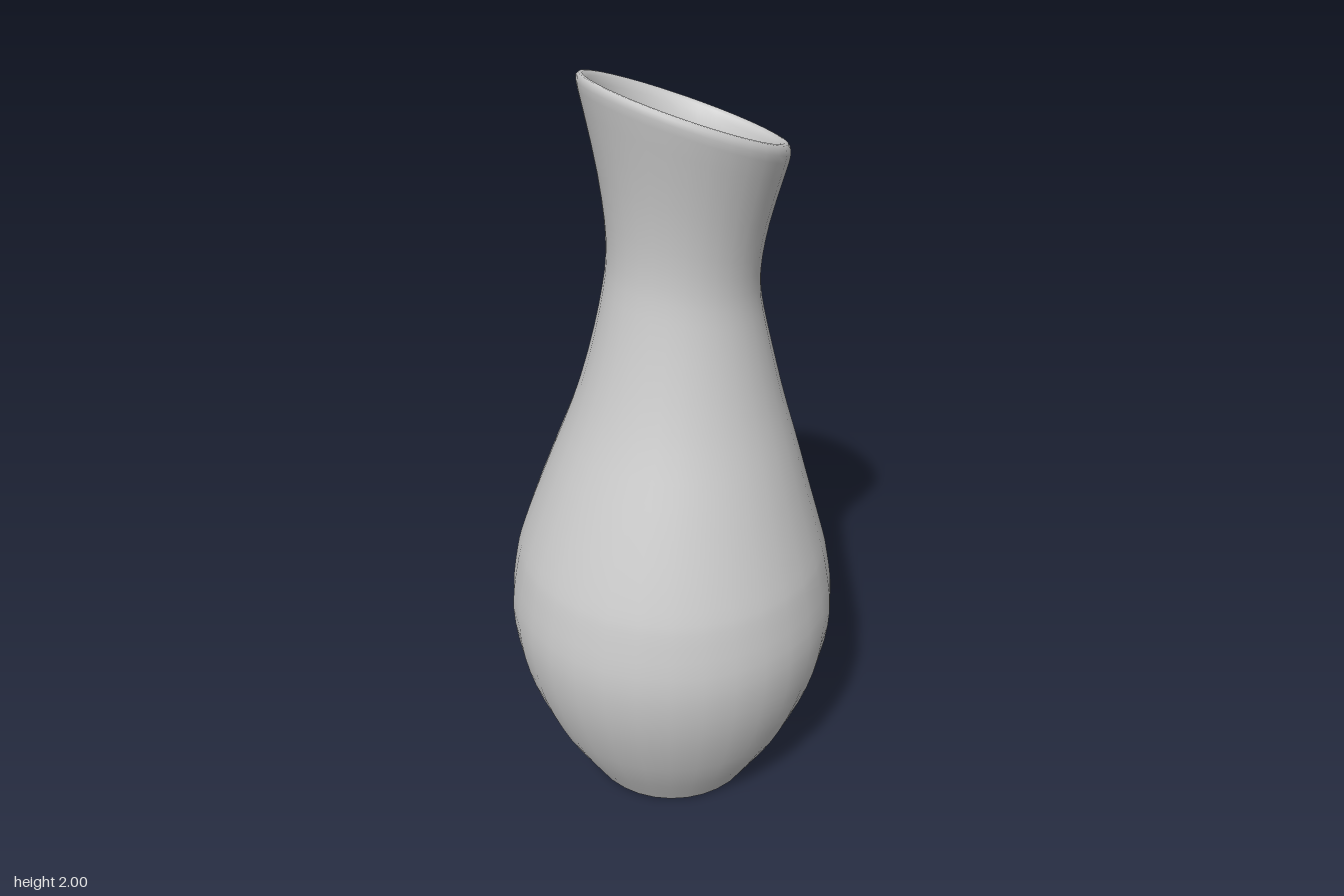
import * as THREE from 'three';
import { mergeVertices } from 'three/addons/utils/BufferGeometryUtils.js';

const smooth = THREE.MathUtils.smoothstep;

// Smooth profile through [radius, height] points
function profile(points, steps) {
  return new THREE.SplineCurve(points.map(([r, h]) => new THREE.Vector2(r, h))).getPoints(steps);
}

// Shift the neck sideways and tilt its rings progressively towards the rim
function slantNeck(geometry) {
  const p = geometry.attributes.position;
  for (let i = 0; i < p.count; i++) {
    const x = p.getX(i), h = p.getY(i);
    const tilt = 0.39 * smooth(h, 1.05, 1.9);
    const shift = 0.033 * smooth(h, 0.7, 1.4);
    p.setX(i, shift + x * Math.cos(tilt));
    p.setY(i, h - x * Math.sin(tilt));
  }
}

export function createModel() {
  const group = new THREE.Group();
  group.name = 'vase';

  // Outer wall, from the foot to just under the lip
  const outer = profile([
    [0.24, 0.02], [0.335, 0.19], [0.405, 0.38], [0.43, 0.55], [0.412, 0.7], [0.386, 0.8],
    [0.32, 1.0], [0.253, 1.2], [0.204, 1.4], [0.188, 1.53], [0.206, 1.68], [0.252, 1.865],
  ], 36);
  // Rounded lip that slopes into the mouth
  const lip = [[0.255, 1.883], [0.254, 1.896], [0.248, 1.904], [0.24, 1.905], [0.228, 1.897], [0.219, 1.88], [0.211, 1.855]]
    .map(([r, h]) => new THREE.Vector2(r, h));
  // Inner wall, from the mouth down to the floor
  const inner = profile([
    [0.205, 1.83], [0.178, 1.68], [0.166, 1.53], [0.178, 1.4], [0.226, 1.2], [0.294, 1.0],
    [0.36, 0.8], [0.402, 0.55], [0.378, 0.38], [0.31, 0.19], [0.22, 0.05],
  ], 32);
  // Flat base with a small rounded edge
  const base = [[0, 0], [0.19, 0], [0.215, 0], [0.226, 0.003], [0.234, 0.01]].map(([r, h]) => new THREE.Vector2(r, h));
  const floor = [[0.19, 0.04], [0, 0.04]].map(([r, h]) => new THREE.Vector2(r, h));

  let geometry = new THREE.LatheGeometry([...base, ...outer, ...lip, ...inner, ...floor], 32);
  slantNeck(geometry);

  // Weld the seam so shading is continuous
  geometry.deleteAttribute('uv');
  geometry.deleteAttribute('normal');
  geometry = mergeVertices(geometry, 1e-5);
  geometry.computeVertexNormals();

  const body = new THREE.Mesh(geometry, new THREE.MeshStandardMaterial({ color: 0xcccccc }));
  body.name = 'vaseBody';
  group.add(body);
  return group;
}
